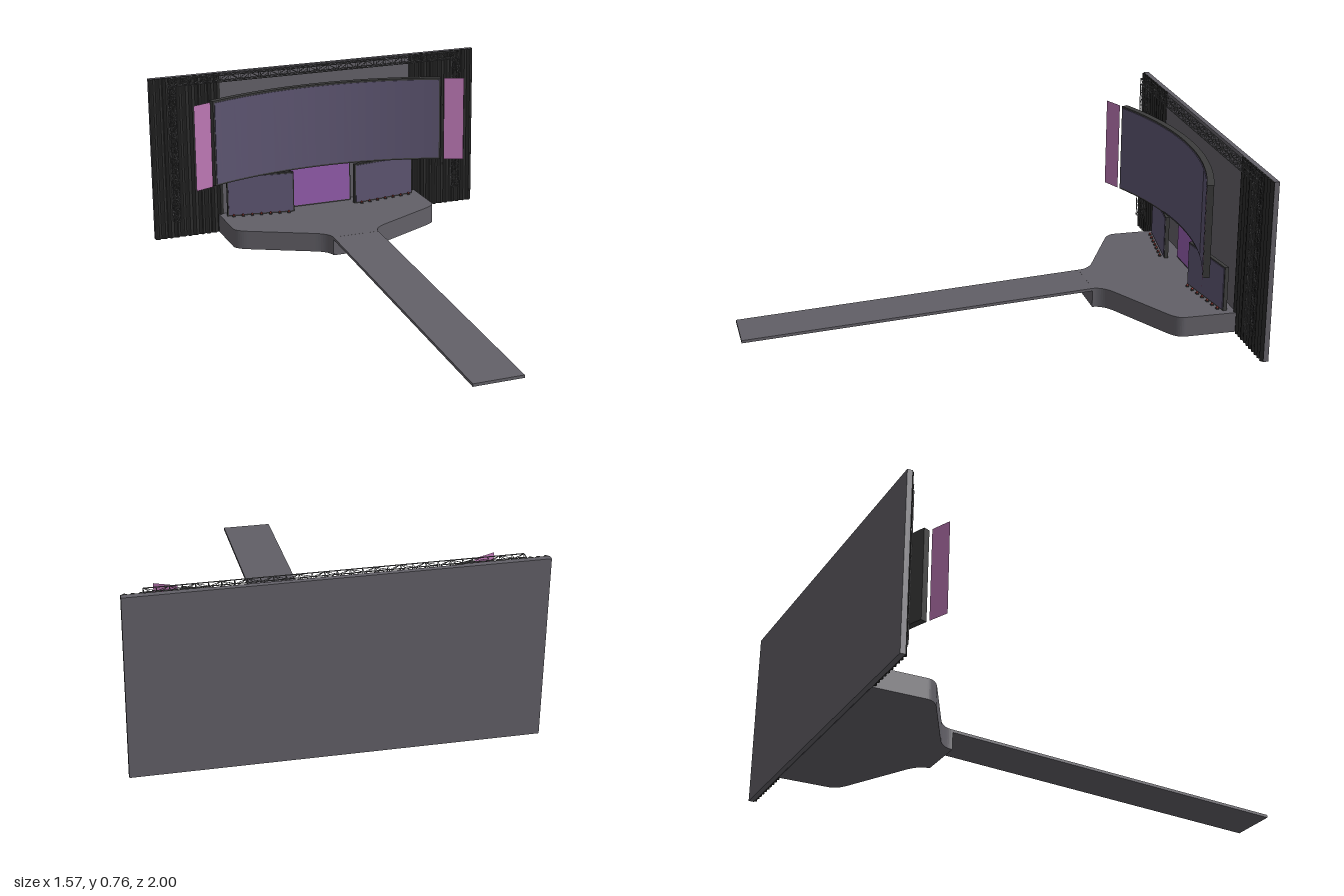
import * as THREE from 'three';
import { mergeGeometries } from 'three/addons/utils/BufferGeometryUtils.js';

const mat = (name, color, side = THREE.FrontSide) => {
  const m = new THREE.MeshStandardMaterial({ color, side });
  m.name = name;
  return m;
};

export function createModel() {
  const group = new THREE.Group();
  const grey = mat('stage grey', 0x626067);
  const black = mat('curtain black', 0x2a2a2a);
  const frameMat = mat('frame dark grey', 0x3c3c3c);
  const steel = mat('truss steel', 0x606062);
  const violet = mat('screen violet', 0x5c5470);
  const purple = mat('centre screen purple', 0x925bab);
  const pink = mat('side banner pink', 0xbd78b5, THREE.DoubleSide);
  const red = mat('footlight red', 0x9a3028);

  const add = (name, geo, material, parent = group) => {
    const mesh = new THREE.Mesh(geo, material);
    mesh.name = name;
    parent.add(mesh);
    return mesh;
  };
  const box = (name, x, y, z, w, h, d, material, parent) => {
    const mesh = add(name, new THREE.BoxGeometry(w, h, d), material, parent);
    mesh.position.set(x, y, z);
    return mesh;
  };
  // Extrudes a floor plan (drawn in x, -z) upward from y0 to y1
  const raise = (shape, y0, y1) => {
    const geo = new THREE.ExtrudeGeometry(shape, { depth: y1 - y0, bevelEnabled: false, curveSegments: 10 });
    return geo.rotateX(-Math.PI / 2).translate(0, y0, 0);
  };

  // Back wall
  box('backWall', 0, 0.39, -0.99, 1.57, 0.75, 0.02, grey);

  // Pleated curtains on both sides of the wall
  for (const s of [-1, 1]) {
    const pts = [];
    const steps = 80;
    for (let i = 0; i <= steps; i++) {
      const t = i / steps;
      pts.push(new THREE.Vector2(s * (0.46 + 0.325 * t), 0.973 + 0.005 * Math.cos(t * 11 * 2 * Math.PI)));
    }
    pts.push(new THREE.Vector2(s * 0.785, 0.981), new THREE.Vector2(s * 0.46, 0.981));
    add(s < 0 ? 'rightCurtain' : 'leftCurtain', raise(new THREE.Shape(pts), 0.015, 0.765), black);
  }

  // Stage deck narrowing into the runway
  const deck = new THREE.Shape();
  deck.moveTo(-0.485, 0.978);
  deck.lineTo(-0.485, 0.76);
  deck.quadraticCurveTo(-0.485, 0.725, -0.43, 0.697);
  deck.lineTo(-0.165, 0.557);
  deck.quadraticCurveTo(-0.107, 0.525, -0.107, 0.48);
  deck.lineTo(0.107, 0.48);
  deck.quadraticCurveTo(0.107, 0.525, 0.165, 0.557);
  deck.lineTo(0.43, 0.697);
  deck.quadraticCurveTo(0.485, 0.725, 0.485, 0.76);
  deck.lineTo(0.485, 0.978);
  add('stageDeck', raise(deck, 0.015, 0.1), grey);

  // Sloping runway, from its side profile in (z, y)
  const slope = new THREE.Shape([[-0.485, 0.088], [1, 0], [1, 0.012], [-0.485, 0.1]]
    .map(([z, y]) => new THREE.Vector2(z, y)));
  const ramp = new THREE.ExtrudeGeometry(slope, { depth: 0.214, bevelEnabled: false });
  add('runway', ramp.rotateY(-Math.PI / 2).translate(0.107, 0, 0), grey);

  // Large curved screen: frame and thin picture plate
  const R = 1.467, centreZ = R - 0.905, halfAngle = 0.381;
  const arcSlab = (r0, r1, half, y0, y1) => {
    const pts = [], n = 32;
    const at = (r, t) => new THREE.Vector2(r * Math.sin(t * half), r * Math.cos(t * half) - centreZ);
    for (let i = 0; i <= n; i++) pts.push(at(r0, -1 + 2 * i / n));
    for (let i = n; i >= 0; i--) pts.push(at(r1, -1 + 2 * i / n));
    return raise(new THREE.Shape(pts), y0, y1);
  };
  add('curvedScreenFrame', arcSlab(R, R + 0.028, halfAngle, 0.295, 0.685), frameMat);
  add('curvedScreen', arcSlab(R - 0.003, R, halfAngle - 0.005, 0.303, 0.677), violet);

  // Thin banners continuing the curve at each end
  for (const s of [-1, 1]) {
    const banner = add(s < 0 ? 'rightBanner' : 'leftBanner',
      new THREE.PlaneGeometry(Math.hypot(0.085, 0.034), 0.39), pink);
    banner.position.set(s * 0.602, 0.49, -0.777);
    banner.rotation.y = -s * Math.atan2(0.034, 0.085);
  }

  // Flat framed screens on the deck
  const flatScreen = (name, x, z, w, turn, material) => {
    const g = new THREE.Group();
    g.name = name;
    g.position.set(x, 0.195, z);
    g.rotation.y = turn;
    box('screenFrame', 0, 0, -0.0085, w, 0.19, 0.017, frameMat, g);
    box('screenPicture', 0, 0, 0.001, w - 0.012, 0.178, 0.003, material, g);
    group.add(g);
  };
  flatScreen('centreScreen', 0, -0.945, 0.3, 0, purple);
  for (const s of [-1, 1]) {
    flatScreen(s < 0 ? 'rightScreen' : 'leftScreen', s * 0.303, -0.908, 0.31, s * 0.146, violet);

    // Row of footlights before each side screen
    for (let i = 0; i < 7; i++) {
      const x = s * (0.18 + i * 0.042), z = -0.875 - i * 0.0065;
      box('footlightBase', x, 0.102, z, 0.012, 0.004, 0.012, frameMat);
      add('footlight', new THREE.SphereGeometry(0.005, 8, 6), red).position.set(x, 0.107, z);
    }
  }

  // Box trusses: four chords, rungs and zigzag braces between two end points
  const up = new THREE.Vector3(0, 1, 0);
  const strut = (a, b, r) => {
    const dir = b.clone().sub(a);
    const geo = new THREE.CylinderGeometry(r, r, dir.length(), 4);
    geo.applyQuaternion(new THREE.Quaternion().setFromUnitVectors(up, dir.normalize()));
    const mid = a.clone().add(b).multiplyScalar(0.5);
    return geo.translate(mid.x, mid.y, mid.z);
  };
  const truss = (name, length, bays) => {
    const parts = [], h = 0.0145;
    const corner = (k, i) => new THREE.Vector3(
      [h, -h, -h, h][k % 4], -length / 2 + length * i / bays, [h, h, -h, -h][k % 4]);
    for (let k = 0; k < 4; k++) {
      parts.push(strut(corner(k, 0), corner(k, bays), 0.0022));
      for (let i = 0; i <= bays; i++) {
        parts.push(strut(corner(k, i), corner(k + 1, i), 0.0013));
        if (i === bays) continue;
        const flip = (i + (k >> 1)) % 2;
        parts.push(strut(corner(k + flip, i), corner(k + 1 - flip, i + 1), 0.0013));
      }
    }
    return add(name, mergeGeometries(parts), steel);
  };
  const top = truss('topTruss', 1.4, 30);
  top.rotation.z = Math.PI / 2;
  top.position.set(0, 0.748, -0.951);
  for (const s of [-1, 1]) {
    truss(s < 0 ? 'rightTruss' : 'leftTruss', 0.635, 13).position.set(s * 0.688, 0.4175, -0.951);
  }

  return group;
}
